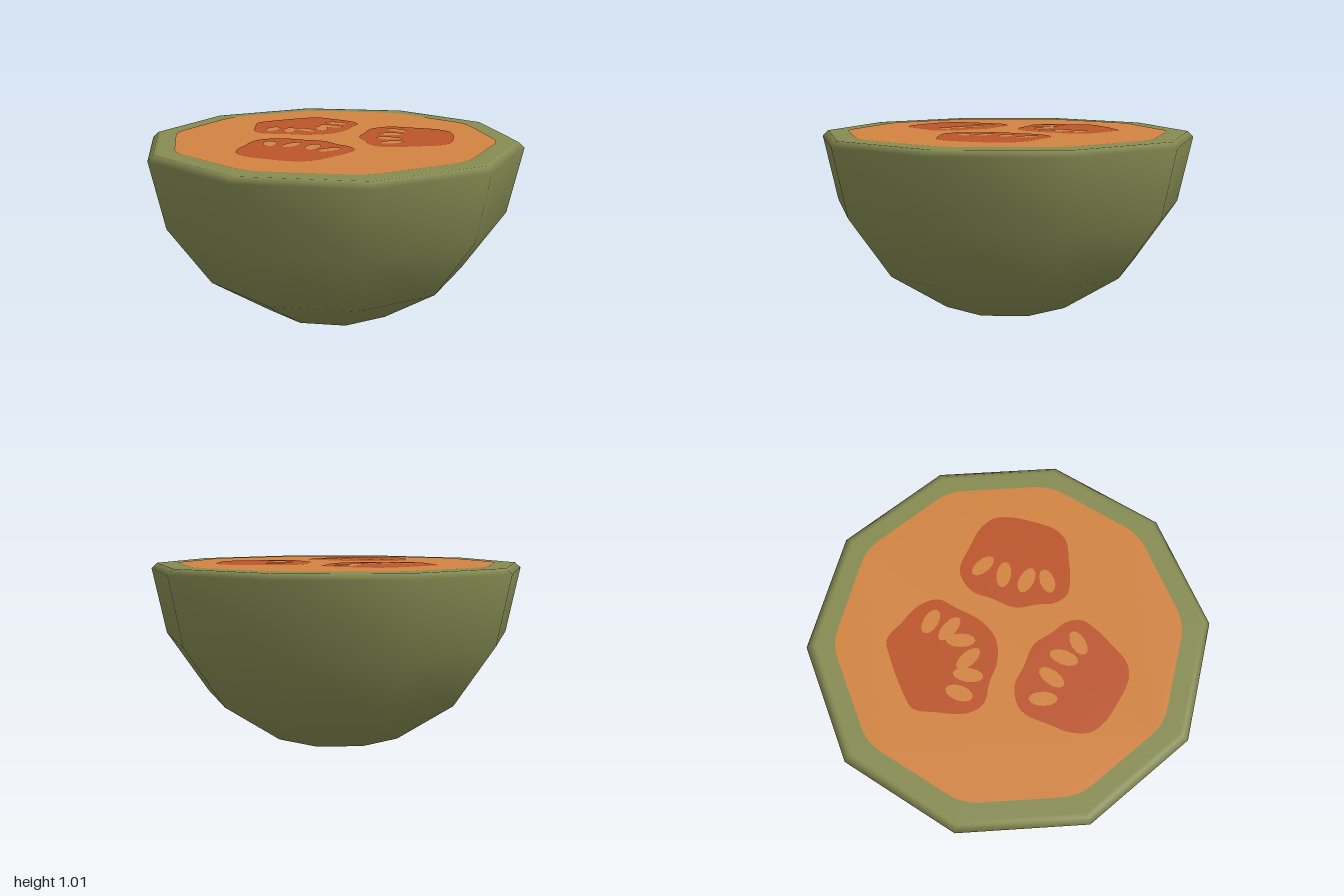
import * as THREE from 'three';

const rindMat = new THREE.MeshStandardMaterial({ name: 'green rind', color: 0x868b52 });
const fleshMat = new THREE.MeshStandardMaterial({ name: 'orange flesh', color: 0xd18341 });
const podMat = new THREE.MeshStandardMaterial({ name: 'red seed hollow', color: 0xbc552c });

const TOP = 1.0;
const LAYER = 0.0017;

// Flat face lying on the cut, raised by a number of thin layers
function face(name, shape, layer, material, segments = 6) {
  const geo = new THREE.ShapeGeometry(shape, segments);
  geo.rotateX(-Math.PI / 2);
  geo.translate(0, TOP + layer * LAYER, 0);
  const mesh = new THREE.Mesh(geo, material);
  mesh.name = name;
  return mesh;
}

// Smooth closed outline through [x, z] points
function blob(points, side = 1, dx = 0, dz = 0) {
  const curve = new THREE.CatmullRomCurve3(
    points.map(([x, z]) => new THREE.Vector3(side * x + dx, -(z + dz), 0)), true);
  return new THREE.Shape(curve.getPoints(72).slice(0, -1).map(p => new THREE.Vector2(p.x, p.y)));
}

// Ten-sided outline with rounded corners
function roundedDecagon(radius, trim) {
  const corner = i => new THREE.Vector2(
    radius * Math.cos(i * Math.PI / 5), radius * Math.sin(i * Math.PI / 5));
  const shape = new THREE.Shape();
  for (let i = 0; i < 10; i++) {
    const c = corner(i);
    const a = c.clone().lerp(corner(i - 1), trim);
    const b = c.clone().lerp(corner(i + 1), trim);
    if (i === 0) shape.moveTo(a.x, a.y);
    else shape.lineTo(a.x, a.y);
    shape.quadraticCurveTo(c.x, c.y, b.x, b.y);
  }
  shape.closePath();
  return shape;
}

// Seed ellipse: x, z, half length, half width, angle in degrees
function seed([x, z, a, b, deg], side = 1, dx = 0, dz = 0) {
  const shape = new THREE.Shape();
  const turn = THREE.MathUtils.degToRad(side > 0 ? deg : 180 - deg);
  shape.absellipse(side * x + dx, -(z + dz), a, b, 0, Math.PI * 2, false, turn);
  return shape;
}

export function createModel() {
  const group = new THREE.Group();
  group.name = 'halfMelon';

  // Rind: ten-sided bowl with a small bevel and a flat cut
  const profile = [[0, 0], [0.387, 0.078], [0.71, 0.297], [0.93, 0.622],
    [1, 0.972], [0.97, TOP], [0.95, TOP], [0, TOP]].map(([r, y]) => new THREE.Vector2(r, y));
  const rind = new THREE.Mesh(new THREE.LatheGeometry(profile, 10, Math.PI / 2), rindMat);
  rind.name = 'rind';
  group.add(rind);

  // Flesh
  group.add(face('flesh', roundedDecagon(0.867, 0.16), 1, fleshMat));

  // Rear seed hollow
  const rearPod = [[-0.19, -0.57], [-0.1, -0.586], [0.1, -0.586], [0.19, -0.57], [0.245, -0.48],
    [0.305, -0.36], [0.3, -0.26], [0.23, -0.2], [0.12, -0.11], [0, -0.072],
    [-0.12, -0.11], [-0.2, -0.18], [-0.295, -0.25], [-0.308, -0.34], [-0.25, -0.47]];
  group.add(face('rearSeedHollow', blob(rearPod), 2, podMat));
  const rearSeeds = [[-0.2, -0.337, 0.07, 0.038, 48], [-0.13, -0.265, 0.075, 0.036, 60],
    [-0.052, -0.235, 0.073, 0.036, -68]];
  for (const side of [-1, 1])
    for (const s of rearSeeds) group.add(face('rearSeed', seed(s, side), 3, fleshMat));

  // Front seed hollows, mirrored left and right
  const frontPod = [[-0.42, -0.08], [-0.36, -0.1], [-0.26, -0.075], [-0.19, 0], [-0.1, 0.09],
    [-0.075, 0.2], [-0.05, 0.28], [-0.07, 0.36], [-0.15, 0.41], [-0.25, 0.445], [-0.35, 0.473],
    [-0.43, 0.45], [-0.52, 0.355], [-0.59, 0.25], [-0.61, 0.17], [-0.575, 0.08], [-0.5, 0]];
  const frontSeeds = [[-0.375, 0.025, 0.07, 0.036, 68], [-0.29, 0.105, 0.072, 0.037, 30],
    [-0.218, 0.2, 0.073, 0.038, 47], [-0.175, 0.295, 0.068, 0.037, 5]];
  for (const [name, side, dx, dz] of [['right', 1, 0, 0], ['left', -1, 0.017, -0.012]]) {
    group.add(face(name + 'SeedHollow', blob(frontPod, side, dx, dz), 2, podMat));
    for (const s of frontSeeds) group.add(face(name + 'Seed', seed(s, side, dx, dz), 3, fleshMat));
  }

  return group;
}
